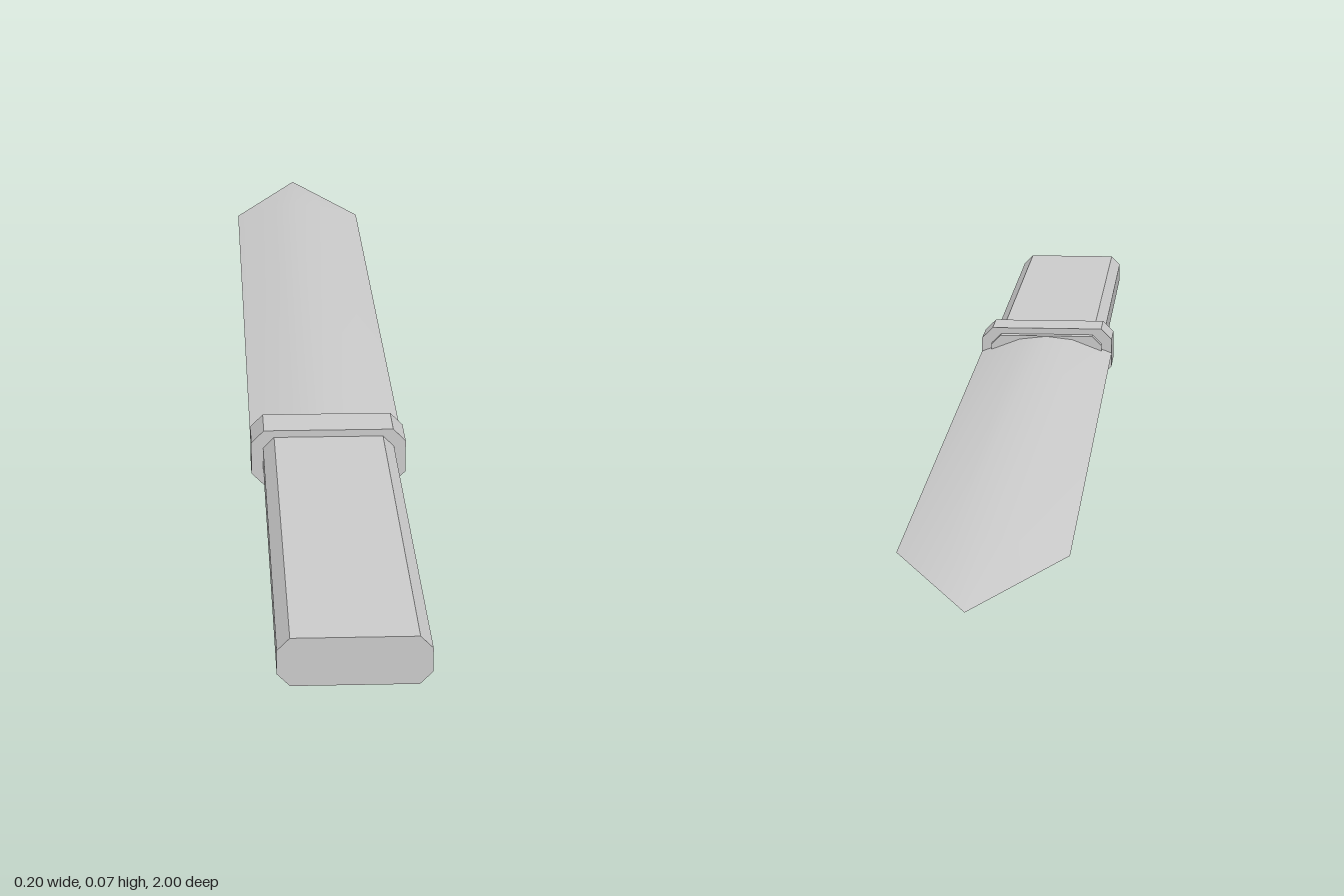
import * as THREE from 'three';
import { toCreasedNormals } from 'three/addons/utils/BufferGeometryUtils.js';

const MID = 0.0375; // height of the long axis

// Bar along z with an octagonal (chamfered rectangle) section
function chamferedBar(name, w, h, c, z0, z1, material) {
  const s = new THREE.Shape([
    [w - c, -h], [w, c - h], [w, h - c], [w - c, h],
    [c - w, h], [-w, h - c], [-w, c - h], [c - w, -h],
  ].map(([x, y]) => new THREE.Vector2(x, y)));
  const geometry = new THREE.ExtrudeGeometry(s, { depth: z1 - z0, bevelEnabled: false });
  const mesh = new THREE.Mesh(geometry, material);
  mesh.name = name;
  mesh.position.set(0, MID, z0);
  return mesh;
}

// Blade lofted through lens sections, closing to a point
function bladeGeometry() {
  const section = [[1, 0], [0.4, 0.83], [0, 1], [-0.4, 0.83], [-1, 0], [-0.4, -0.83], [0, -1], [0.4, -0.83]];
  const rings = [[0.34, 0.098, 0.027], [-0.78, 0.098, 0.018], [-1, 0, 0]]; // z, half width, half thickness
  const n = section.length;
  const positions = [];
  const index = [];
  for (const [z, w, t] of rings) {
    for (const [x, y] of section) positions.push(x * w, y * t, z);
  }
  for (let r = 0; r < rings.length - 1; r++) {
    for (let i = 0; i < n; i++) {
      const a = r * n + i;
      const b = r * n + (i + 1) % n;
      index.push(a, a + n, b);
      if (r < rings.length - 2) index.push(b, a + n, b + n);
    }
  }
  for (let i = 1; i < n - 1; i++) index.push(0, i, i + 1); // base cap
  const g = new THREE.BufferGeometry();
  g.setAttribute('position', new THREE.Float32BufferAttribute(positions, 3));
  g.setIndex(index);
  return toCreasedNormals(g, 0.5);
}

export function createModel() {
  const steel = new THREE.MeshStandardMaterial({ name: 'pale grey steel', color: 0xcccccc });
  const group = new THREE.Group();
  group.name = 'dagger';

  // Grip pokes slightly through the guard
  group.add(chamferedBar('handle', 0.083, 0.0275, 0.014, 0.305, 1, steel));
  group.add(chamferedBar('guard', 0.098, 0.0365, 0.016, 0.318, 0.38, steel));

  const blade = new THREE.Mesh(bladeGeometry(), steel);
  blade.name = 'blade';
  blade.position.y = MID;
  group.add(blade);
  return group;
}
